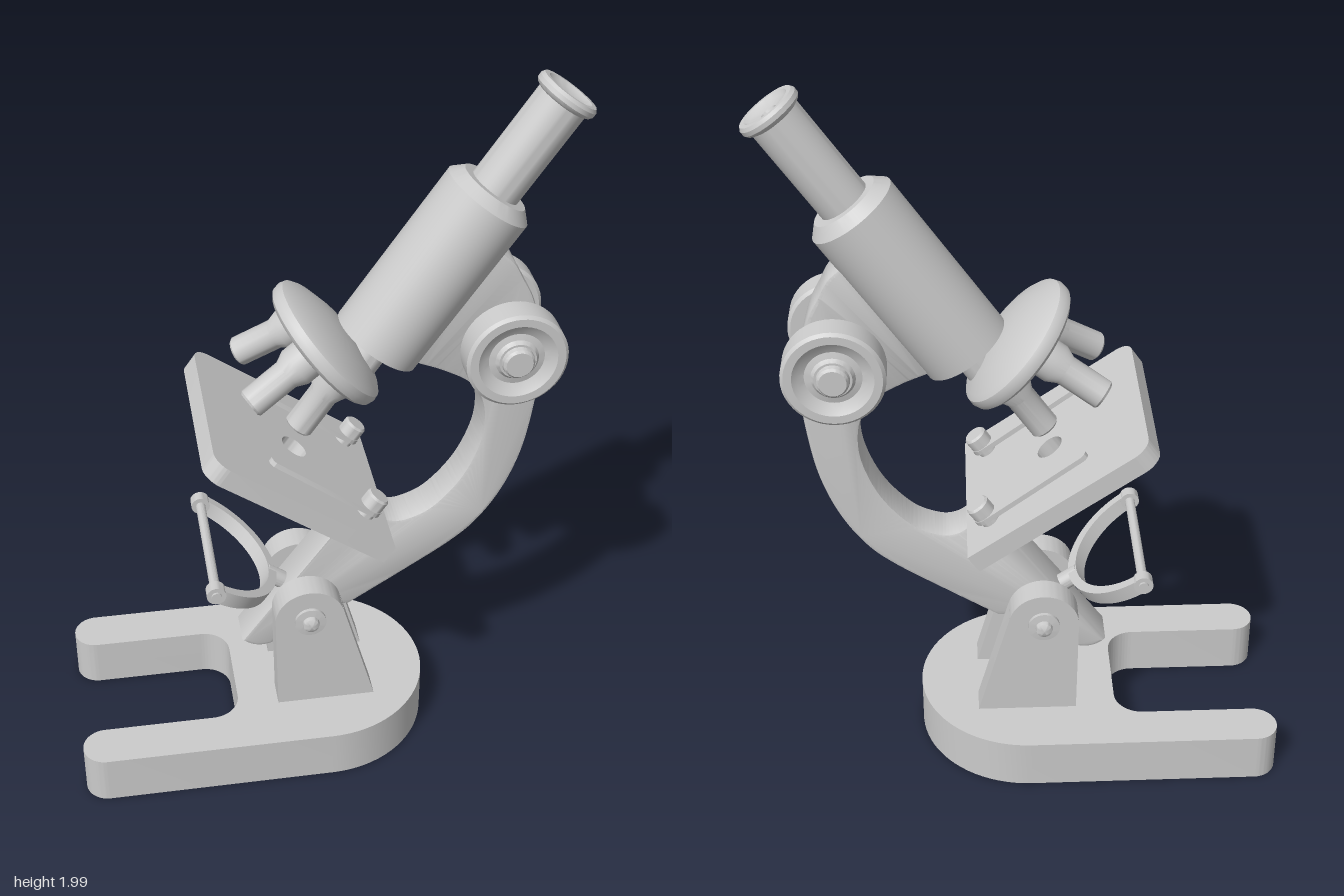
import * as THREE from 'three';
import { toCreasedNormals } from 'three/addons/utils/BufferGeometryUtils.js';

const material = new THREE.MeshStandardMaterial({ color: 0xcccccc });
const TILT = THREE.MathUtils.degToRad(35);

function add(parent, name, geometry, x = 0, y = 0, z = 0) {
  const mesh = new THREE.Mesh(toCreasedNormals(geometry, 0.55), material);
  mesh.name = name;
  mesh.position.set(x, y, z);
  parent.add(mesh);
  return mesh;
}

const vecs = (pts) => pts.map(([x, y]) => new THREE.Vector2(x, y));
const lathe = (pts, sides = 48) => new THREE.LatheGeometry(vecs(pts), sides);

// Extrusion centred on z = 0, with an optional bevel inside the outline
function plate(shape, depth, bevel = 0) {
  const geo = new THREE.ExtrudeGeometry(shape, {
    depth: depth - 2 * bevel, curveSegments: 20, bevelEnabled: bevel > 0,
    bevelSize: bevel, bevelThickness: bevel, bevelOffset: -bevel, bevelSegments: 2,
  });
  return geo.translate(0, 0, -(depth - 2 * bevel) / 2);
}

// Horizontal slab: shape y becomes z, top face at y = 0
const slab = (shape, depth) => plate(shape, depth).rotateX(Math.PI / 2).translate(0, -depth / 2, 0);

// U-shaped foot with two round-ended prongs
function buildBase() {
  const s = new THREE.Shape();
  const outer = 0.315, inner = 0.185, end = -0.645, mid = 0.25, r = 0.065, notch = -0.25, c = 0.08;
  s.moveTo(end, -outer);
  s.lineTo(0, -outer);
  s.absarc(0, 0, outer, -Math.PI / 2, Math.PI / 2, false);
  s.lineTo(end, outer);
  s.absarc(end, mid, r, Math.PI / 2, Math.PI * 1.5, false);
  s.lineTo(notch - c, inner);
  s.absarc(notch - c, inner - c, c, Math.PI / 2, 0, true);
  s.lineTo(notch, -inner + c);
  s.absarc(notch - c, -inner + c, c, 0, -Math.PI / 2, true);
  s.lineTo(end, -inner);
  s.absarc(end, -mid, r, Math.PI / 2, Math.PI * 1.5, false);
  return slab(s, 0.145);
}

// Upright cheek with a rounded top
function buildCheek() {
  const s = new THREE.Shape();
  s.moveTo(-0.135, 0.14);
  s.lineTo(0.15, 0.14);
  s.lineTo(0.057, 0.473);
  s.absarc(-0.04, 0.447, 0.1, 0.26, Math.PI - 0.08, false);
  return plate(s, 0.078);
}

// Curved limb from the tail up to the body tube
function buildArm() {
  const s = new THREE.Shape();
  s.moveTo(-0.225, 0.315);
  s.lineTo(0.077, 0.728);
  s.lineTo(0.02, 0.77);
  s.lineTo(0.052, 0.815);
  s.lineTo(0.16, 0.735);
  s.splineThru(vecs([[0.2, 0.708], [0.25, 0.706], [0.325, 0.743], [0.405, 0.839], [0.452, 0.96],
    [0.452, 1.066], [0.415, 1.14], [0.34, 1.188], [0.27, 1.218]]));
  s.lineTo(0.22, 1.25);
  s.lineTo(0.45, 1.56);
  s.lineTo(0.489, 1.527);
  s.splineThru(vecs([[0.516, 1.5], [0.54, 1.455], [0.572, 1.39], [0.6, 1.28], [0.606, 1.183],
    [0.6, 1.077], [0.574, 0.918], [0.526, 0.786], [0.458, 0.68], [0.378, 0.606], [0.235, 0.51], [0.087, 0.415]]));
  s.lineTo(-0.03, 0.42);
  s.lineTo(-0.13, 0.299);
  s.quadraticCurveTo(-0.18, 0.275, -0.225, 0.315);
  return plate(s, 0.12, 0.01);
}

// Square table, rounded at the free end, with a light hole
function buildStage() {
  const s = new THREE.Shape();
  const a = -0.297, b = 0.284, w = 0.285, r = 0.05;
  s.moveTo(b, -w);
  s.lineTo(b, w);
  s.lineTo(a + r, w);
  s.absarc(a + r, w - r, r, Math.PI / 2, Math.PI, false);
  s.lineTo(a, -w + r);
  s.absarc(a + r, -w + r, r, Math.PI, Math.PI * 1.5, false);
  s.holes.push(new THREE.Path().absarc(0, 0, 0.04, 0, Math.PI * 2, true));
  return slab(s, 0.055);
}

// Tapered spring strip
function buildClip() {
  const s = new THREE.Shape();
  s.absarc(0.205, 0, 0.035, -Math.PI / 2, Math.PI / 2, false);
  s.absarc(-0.105, 0, 0.018, Math.PI / 2, Math.PI * 1.5, false);
  return slab(s, 0.014);
}

// Half ring that carries the mirror bar
function buildFork() {
  const s = new THREE.Shape();
  s.absarc(0, 0, 0.22, -Math.PI / 2, Math.PI / 2, false);
  s.absarc(0, 0, 0.193, Math.PI / 2, -Math.PI / 2, true);
  return slab(s, 0.045);
}

// Three objectives around a lens-shaped turret
function buildNosepiece() {
  const turret = new THREE.Group();
  turret.name = 'nosepiece';
  turret.position.set(0.029, 1.278, 0);
  turret.rotation.z = -THREE.MathUtils.degToRad(50);
  add(turret, 'turretDisc', lathe([[0, -0.06], [0.08, -0.055], [0.13, -0.043], [0.185, -0.028], [0.197, -0.018],
    [0.2, 0], [0.195, 0.015], [0.18, 0.025], [0.12, 0.045], [0.06, 0.055], [0, 0.058]], 64));
  for (let i = 0; i < 3; i++) {
    const spoke = new THREE.Group();
    spoke.name = 'objectiveMount';
    spoke.rotation.y = i * Math.PI * 2 / 3;
    turret.add(spoke);
    const lens = add(spoke, 'objective', lathe([[0, -0.228], [0.024, -0.228], [0.026, -0.238], [0.036, -0.238],
      [0.041, -0.232], [0.041, -0.115], [0.055, -0.085], [0.055, 0], [0, 0]], 32), 0.09);
    lens.rotation.z = THREE.MathUtils.degToRad(15);
  }
  return turret;
}

export function createModel() {
  const model = new THREE.Group();
  model.name = 'microscope';
  add(model, 'base', buildBase(), 0, 0.145, 0);
  add(model, 'arm', buildArm());

  // Paired cheeks, hinge caps and focus knobs
  const cap = lathe([[0, 0], [0.045, 0], [0.045, 0.012], [0.024, 0.014], [0.022, 0.026], [0.012, 0.032], [0, 0.033]], 32);
  const knob = lathe([[0, 0], [0.128, 0], [0.1365, 0.008], [0.1365, 0.08], [0.128, 0.088], [0.106, 0.088],
    [0.092, 0.078], [0.075, 0.07], [0.058, 0.074], [0.05, 0.084], [0.044, 0.084], [0.042, 0.097], [0.036, 0.104], [0, 0.104]]);
  for (const side of [1, -1]) {
    add(model, 'cheek', buildCheek(), 0, 0, side * 0.113);
    add(model, 'hingeCap', cap, -0.04, 0.447, side * 0.15).rotation.x = side * Math.PI / 2;
    add(model, 'focusKnob', knob, 0.505, 1.278, side * 0.092).rotation.x = side * Math.PI / 2;
  }
  add(model, 'hingePin', new THREE.CylinderGeometry(0.03, 0.03, 0.3, 24).rotateX(Math.PI / 2), -0.04, 0.447, 0);
  add(model, 'focusShaft', new THREE.CylinderGeometry(0.05, 0.05, 0.2, 32).rotateX(Math.PI / 2), 0.505, 1.278, 0);

  model.add(buildNosepiece());

  // Everything aligned with the leaning optical axis
  const optics = new THREE.Group();
  optics.name = 'tiltedParts';
  optics.position.set(0.164, 1.27, 0);
  optics.rotation.z = -TILT;
  model.add(optics);
  add(optics, 'bodyTube', lathe([[0, 0], [0.125, 0], [0.125, 0.49], [0.095, 0.52], [0, 0.52]], 64));
  add(optics, 'tubeNeck', new THREE.CylinderGeometry(0.05, 0.05, 0.12, 32), 0, -0.05, 0);
  add(optics, 'eyepiece', lathe([[0, 0.5], [0.07, 0.5], [0.07, 0.795], [0.08, 0.8], [0.086, 0.808], [0.086, 0.82],
    [0.08, 0.829], [0.066, 0.829], [0.055, 0.82], [0.024, 0.814], [0.02, 0.806], [0, 0.806]]));

  add(optics, 'stage', buildStage(), 0, -0.392, 0);
  for (const side of [1, -1]) {
    add(optics, 'stageClip', buildClip(), 0, -0.362, side * 0.175);
    add(optics, 'clipPost', lathe([[0, -0.4], [0.026, -0.4], [0.026, -0.362], [0.033, -0.362], [0.033, -0.33],
      [0.028, -0.324], [0, -0.324]], 24), 0.205, 0, side * 0.175);
    add(optics, 'forkEnd', new THREE.CylinderGeometry(0.027, 0.027, 0.034, 24).rotateX(Math.PI / 2), -0.022, -0.795, side * 0.207);
  }

  // Mirror fork with its cross bar
  add(optics, 'mirrorFork', buildFork(), -0.022, -0.7725, 0);
  add(optics, 'mirrorBar', new THREE.CylinderGeometry(0.014, 0.014, 0.46, 20).rotateX(Math.PI / 2), -0.022, -0.795, 0);
  add(optics, 'forkStub', new THREE.CylinderGeometry(0.026, 0.026, 0.08, 20).rotateZ(Math.PI / 2), 0.215, -0.795, 0);
  return model;
}
